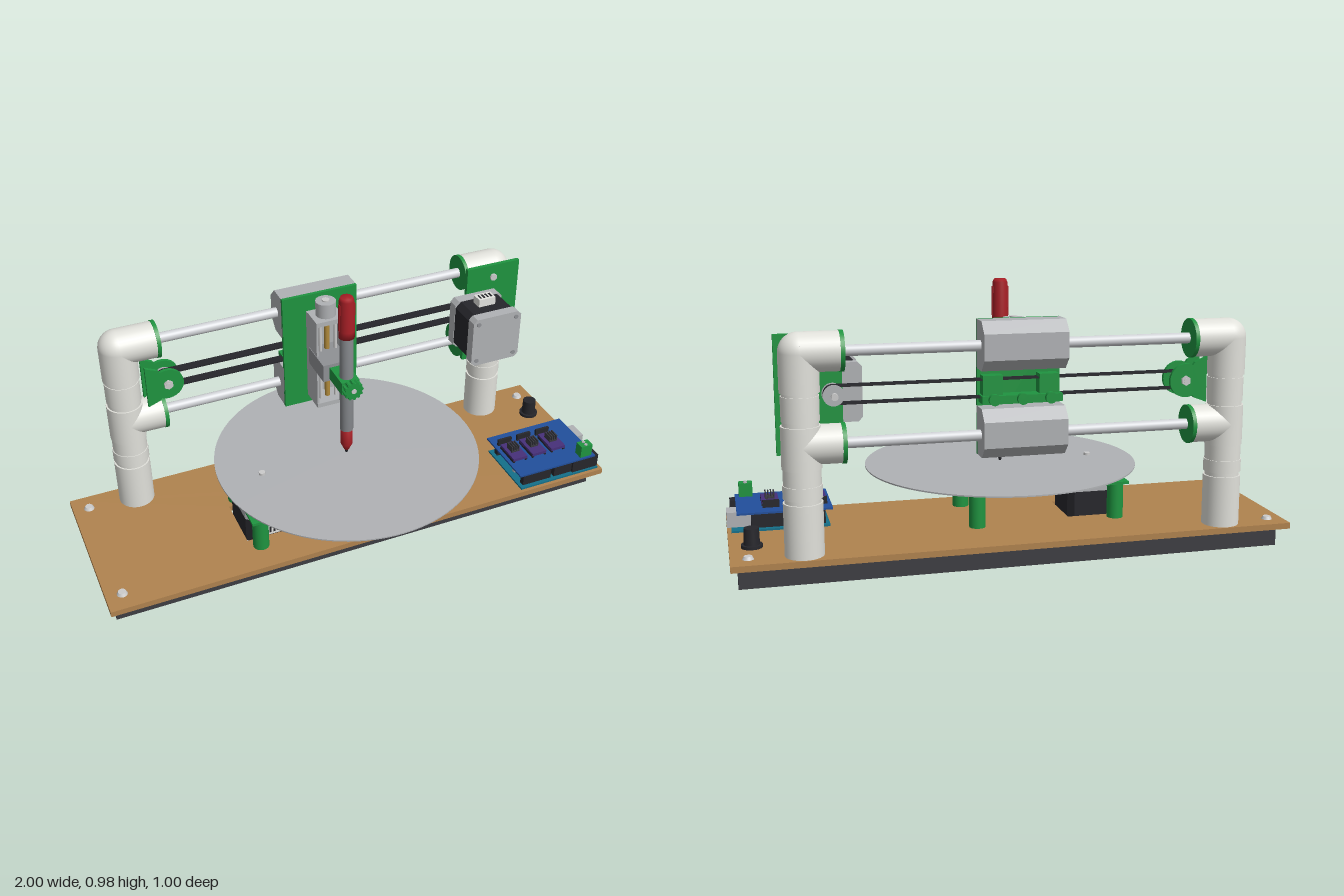
import * as THREE from 'three';

const GREEN = 0x1f9440, GREY = 0xb0b2b5, BLACK = 0x26262b, PIPE = 0xe0e0da, RED = 0xa81f26, STEEL = 0xcccccc;
const mats = {};
const mat = (c) => (mats[c] ??= new THREE.MeshStandardMaterial({ color: c }));

export function createModel() {
  const model = new THREE.Group();
  let target = model;
  const group = (name) => {
    target = new THREE.Group();
    target.name = name;
    model.add(target);
    return target;
  };
  const add = (name, geo, color, x = 0, y = 0, z = 0) => {
    const m = new THREE.Mesh(geo, mat(color));
    m.name = name;
    m.position.set(x, y, z);
    target.add(m);
    return m;
  };
  // box given by its limits on each axis
  const box = (name, color, [x0, x1], [y0, y1], [z0, z1]) =>
    add(name, new THREE.BoxGeometry(x1 - x0, y1 - y0, z1 - z0), color, (x0 + x1) / 2, (y0 + y1) / 2, (z0 + z1) / 2);
  // cylinder centred at a point, along axis 'x', 'y' or 'z'
  const cyl = (name, color, r, len, axis, x, y, z, rTop = r, seg = 32) => {
    const g = new THREE.CylinderGeometry(rTop, r, len, seg);
    if (axis === 'x') g.rotateZ(-Math.PI / 2);
    if (axis === 'z') g.rotateX(Math.PI / 2);
    return add(name, g, color, x, y, z);
  };
  const polygon = (pts) => new THREE.Shape(pts.map((p) => new THREE.Vector2(...p)));
  const extrude = (shape, depth) => new THREE.ExtrudeGeometry(shape, { depth, bevelEnabled: false, curveSegments: 20 });
  const knurl = (r, n, cut) => polygon(Array.from({ length: n * 4 }, (_, i) => {
    const a = (i / (n * 4)) * Math.PI * 2, q = i % 4 < 2 ? r : r - cut;
    return [Math.cos(a) * q, Math.sin(a) * q];
  }));
  // square with cut corners, used for stepper motors
  const cutSquare = (h, c) => polygon([[-h + c, -h], [h - c, -h], [h, -h + c], [h, h - c], [h - c, h], [-h + c, h], [-h, h - c], [-h, -h + c]]);
  // closed belt outline around two pulleys, running along x
  const loop = (x0, x1, r0, r1, Type) => {
    const s = new Type();
    s.absarc(x0, 0, r0, Math.PI / 2, Math.PI * 1.5, false);
    s.absarc(x1, 0, r1, -Math.PI / 2, Math.PI / 2, false);
    s.closePath();
    return s;
  };
  const belt = (x0, x1, r0, r1, t, depth) => {
    const s = loop(x0, x1, r0, r1, THREE.Shape);
    s.holes.push(loop(x0, x1, r0 - t, r1 - t, THREE.Path));
    return extrude(s, depth);
  };
  // stepper motor along z, rear face at z = 0, shaft towards -z
  const stepper = (name, body) => {
    const g = group(name), L = 0.19, a = 0.04;
    add('rearCap', extrude(cutSquare(0.102, 0.015), a), GREY, 0, 0, -a);
    add('core', extrude(cutSquare(0.1, 0.022), body), BLACK, 0, 0, -a - body);
    add('frontCap', extrude(cutSquare(0.102, 0.015), L - a - body), GREY, 0, 0, -L);
    cyl('shaft', STEEL, 0.012, 0.09, 'z', 0, 0, -L - 0.04);
    for (const i of [-1, 1]) for (const j of [-1, 1]) cyl('screw', 0x909296, 0.009, 0.004, 'z', i * 0.08, j * 0.08, 0.001, 0.009, 12);
    box('connector', 0xe2e2de, [-0.035, 0.035], [0.1, 0.131], [-0.13, -0.085]);
    for (let i = 0; i < 4; i++) box('pin', BLACK, [-0.026 + i * 0.015, -0.019 + i * 0.015], [0.13, 0.1325], [-0.12, -0.095]);
    return g;
  };

  // Base board, rails and screws
  group('base');
  const board = polygon([[-1, -0.265], [1, -0.265], [1, 0.38], [-1, 0.38]]);
  board.holes.push(new THREE.Path([[-0.445, -0.105], [-0.445, 0.105], [-0.235, 0.105], [-0.235, -0.105]].map((p) => new THREE.Vector2(...p))));
  add('board', extrude(board, 0.022).rotateX(-Math.PI / 2), 0xb0834f, 0, 0.079, 0);
  box('frontRail', 0x3d3d42, [-0.975, 0.975], [0, 0.079], [0.13, 0.205]);
  box('rearRail', 0x3d3d42, [-0.975, 0.975], [0, 0.079], [-0.32, -0.245]);
  for (const [x, z] of [[-0.94, -0.31], [-0.94, 0.19], [0.94, -0.31], [0.94, 0.19]]) cyl('boardScrew', STEEL, 0.02, 0.012, 'y', x, 0.106, z, 0.014, 20);

  // Pipe posts with tees and elbows
  const PZ = -0.308, Y1 = 0.787, Y0 = 0.478;
  for (const s of [-1, 1]) {
    group(s < 0 ? 'rightPost' : 'leftPost');
    const x = s * 0.753;
    cyl('pipeCore', PIPE, 0.061, 0.68, 'y', x, 0.44, PZ);
    for (const [a, b, r] of [[0.1, 0.285, 0.067], [0.3, 0.345, 0.067], [0.345, 0.4, 0.064], [0.4, 0.545, 0.067], [0.56, 0.645, 0.064], [0.655, Y1, 0.067]])
      cyl('pipeSleeve', PIPE, r, b - a, 'y', x, (a + b) / 2, PZ);
    add('elbowCorner', new THREE.SphereGeometry(0.067, 32, 20), PIPE, x, Y1, PZ);
    for (const y of [Y0, Y1]) {
      cyl('branch', PIPE, 0.067, 0.135, 'x', s * 0.685, y, PZ);
      cyl('rodCollar', GREEN, 0.069, 0.014, 'x', s * 0.614, y, PZ);
    }
  }

  // Guide rods and traverse belt
  group('traverse');
  for (const y of [Y0, Y1]) cyl('guideRod', 0xd0d2d6, 0.019, 1.24, 'x', 0, y, PZ);
  add('traverseBelt', belt(-0.6, 0.64, 0.033, 0.033, 0.006, 0.035), BLACK, 0, 0.635, -0.288);
  for (const x of [-0.6, 0.64]) {
    cyl('pulley', STEEL, 0.026, 0.036, 'z', x, 0.635, -0.27);
    for (const z of [-0.291, -0.249]) cyl('pulleyFlange', GREY, 0.036, 0.005, 'z', x, 0.635, z);
  }
  cyl('idlerBolt', STEEL, 0.01, 0.1, 'z', -0.6, 0.635, -0.27, 0.01, 16);
  const idler = new THREE.Shape();
  idler.moveTo(-0.68, 0.555);
  idler.lineTo(-0.635, 0.572);
  idler.absarc(-0.602, 0.635, 0.06, -2.0, 2.0, false);
  idler.lineTo(-0.635, 0.7);
  idler.lineTo(-0.68, 0.72);
  idler.closePath();
  for (const z of [-0.244, -0.31]) add('idlerPlate', extrude(idler, 0.013), GREEN, 0, 0, z);
  for (const z of [-0.228, -0.312]) cyl('idlerNut', STEEL, 0.018, 0.012, 'z', -0.6, 0.635, z, 0.018, 6);

  // Traverse motor and its plate
  group('motorMount');
  box('motorPlate', GREEN, [0.605, 0.83], [0.43, 0.838], [-0.241, -0.225]);
  for (const y of [Y0, Y1]) cyl('plateScrew', STEEL, 0.014, 0.01, 'z', 0.718, y, -0.222, 0.014, 16);
  stepper('traverseMotor', 0.11).position.set(0.638, 0.632, -0.035);

  // Carriage with bearing blocks and belt clamp
  group('carriage');
  box('carriagePlate', GREEN, [-0.15, 0.146], [0.4, 0.871], [-0.256, -0.243]);
  const block = polygon([[0.25, -0.085], [0.325, -0.085], [0.365, -0.045], [0.365, 0.045], [0.325, 0.085], [0.25, 0.085]]);
  for (const y of [0.486, 0.786]) add('bearingBlock', extrude(block, 0.296).rotateY(Math.PI / 2), GREY, -0.15, y, 0);
  for (const x of [-0.1, 0.1]) box('beltClamp', GREEN, [x - 0.035, x + 0.035], [0.59, 0.68], [-0.3, -0.25]);
  box('clampBar', GREEN, [-0.145, 0.141], [0.585, 0.612], [-0.315, -0.25]);
  for (const x of [-0.1, 0, 0.1]) cyl('clampKnob', GREEN, 0.02, 0.02, 'z', x, 0.6, -0.32, 0.02, 16);

  // Vertical screw slide with open front
  group('penSlide');
  box('slideBack', GREY, [-0.058, 0.055], [0.435, 0.805], [-0.243, -0.225]);
  for (const x of [-0.058, 0.047]) box('slideSide', GREY, [x, x + 0.008], [0.435, 0.805], [-0.226, -0.142]);
  for (const y of [0.435, 0.79]) box('slideEnd', GREY, [-0.058, 0.055], [y, y + 0.018], [-0.226, -0.14]);
  for (const x of [-0.03, 0.03]) cyl('slideRod', STEEL, 0.006, 0.345, 'y', x, 0.62, -0.175, 0.006, 16);
  cyl('leadScrew', 0xb08a3c, 0.01, 0.345, 'y', 0, 0.62, -0.185, 0.01, 16);
  cyl('slideMotor', GREY, 0.038, 0.06, 'y', 0, 0.835, -0.192);
  cyl('slideMotorCap', STEEL, 0.014, 0.006, 'y', 0, 0.867, -0.192);
  box('slideBlock', 0x8f9195, [-0.06, 0.058], [0.595, 0.665], [-0.215, -0.075]);

  // Pen clamp with knurled thumb screw
  group('penHolder');
  box('holderArm', GREEN, [-0.035, 0.035], [0.602, 0.652], [-0.075, -0.026]);
  const ring = polygon([[-0.05, -0.035], [0.05, -0.035], [0.05, 0.035], [-0.05, 0.035]]);
  ring.holes.push(new THREE.Path().absarc(0, 0, 0.025, 0, Math.PI * 2, true));
  add('holderRing', extrude(ring, 0.05).rotateX(-Math.PI / 2).rotateY(Math.PI / 2), GREEN, 0, 0.602, -0.012);
  add('thumbKnob', extrude(knurl(0.038, 12, 0.006), 0.024), GREEN, 0, 0.628, 0.044);
  cyl('thumbScrew', STEEL, 0.01, 0.04, 'z', 0, 0.628, 0.05, 0.01, 16);

  // Pen
  group('pen');
  const lathe = (name, color, pts) => add(name, new THREE.LatheGeometry(pts.map((p) => new THREE.Vector2(...p)), 32), color);
  lathe('penTip', BLACK, [[0, 0.303], [0.004, 0.308], [0.01, 0.33], [0, 0.33]]);
  lathe('penNose', RED, [[0, 0.322], [0.009, 0.322], [0.022, 0.35], [0.023, 0.42], [0, 0.42]]);
  lathe('penBarrel', 0x85888c, [[0, 0.418], [0.025, 0.418], [0.025, 0.822], [0, 0.822]]);
  lathe('penCap', RED, [[0, 0.82], [0.029, 0.82], [0.029, 0.85], [0.027, 0.97], [0.022, 0.982], [0, 0.982]]);
  for (const x of [-0.026, 0.026]) box('penCapRib', RED, [x - 0.004, x + 0.004], [0.85, 0.955], [-0.007, 0.007]);

  // Turntable
  group('turntable');
  cyl('platter', GREY, 0.5, 0.005, 'y', 0, 0.305, 0, 0.5, 96);
  cyl('lowerDisc', 0x8a8c90, 0.3, 0.004, 'y', 0, 0.295, 0, 0.3, 72);
  cyl('hub', STEEL, 0.03, 0.03, 'y', 0, 0.292, 0);
  for (const y of [0.25, 0.287]) cyl('wheelFlange', GREEN, 0.105, 0.006, 'y', 0, y, 0, 0.105, 48);
  cyl('wheel', 0x303035, 0.098, 0.035, 'y', 0, 0.268, 0, 0.098, 48);
  add('driveBelt', belt(-0.34, 0, 0.03, 0.102, 0.006, 0.025).rotateX(-Math.PI / 2), BLACK, 0, 0.256, 0);
  cyl('driveWheel', GREEN, 0.026, 0.04, 'y', -0.34, 0.268, 0);
  for (const y of [0.25, 0.287]) cyl('driveFlange', GREEN, 0.038, 0.006, 'y', -0.34, y, 0);

  // Turntable support and motor
  group('turntableSupport');
  box('supportPlate', GREEN, [-0.445, 0.15], [0.233, 0.243], [-0.182, 0.182]);
  for (const x of [-0.405, 0.12]) for (const z of [-0.142, 0.145]) {
    cyl('supportLeg', GREEN, 0.03, 0.135, 'y', x, 0.167, z);
    cyl('legScrew', STEEL, 0.012, 0.008, 'y', x, 0.245, z, 0.012, 16);
  }
  cyl('bearing', GREEN, 0.045, 0.03, 'y', 0, 0.235, 0);
  const drive = stepper('turntableMotor', 0.11);
  drive.rotation.x = Math.PI / 2;
  drive.position.set(-0.34, 0.042, 0);

  // Control electronics
  group('controller');
  box('mainBoard', 0x14708a, [0.635, 0.985], [0.102, 0.109], [-0.01, 0.252]);
  box('shieldBoard', 0x214f9c, [0.625, 0.965], [0.166, 0.173], [-0.015, 0.252]);
  for (const z of [0.01, 0.215]) for (const x of [0.65, 0.79]) box('header', BLACK, [x, x + 0.125], [0.109, 0.166], [z, z + 0.022]);
  box('usbPort', GREY, [0.9, 1], [0.109, 0.164], [0.035, 0.11]);
  box('powerJack', BLACK, [0.87, 0.985], [0.109, 0.164], [0.195, 0.245]);
  box('terminal', GREEN, [0.9, 0.95], [0.173, 0.224], [0.207, 0.245]);
  for (const z of [0.217, 0.235]) cyl('terminalScrew', GREY, 0.007, 0.003, 'y', 0.925, 0.225, z, 0.007, 12);
  for (let i = 0; i < 3; i++) {
    const x = 0.64 + i * 0.086;
    box('driverBoard', 0x47307a, [x, x + 0.062], [0.18, 0.192], [0.065, 0.17]);
    for (const d of [0, 0.054]) box('driverHeader', BLACK, [x + d, x + d + 0.008], [0.173, 0.184], [0.065, 0.17]);
    box('heatSink', 0x3a3a40, [x + 0.014, x + 0.048], [0.19, 0.197], [0.09, 0.13]);
    for (let k = 0; k < 4; k++) box('heatSinkFin', 0x3a3a40, [x + 0.014 + k * 0.01, x + 0.018 + k * 0.01], [0.196, 0.217], [0.09, 0.13]);
    box('motorPins', BLACK, [x, x + 0.06], [0.173, 0.2], [0.04, 0.05]);
  }
  for (const x of [0.67, 0.8]) cyl('capacitor', GREY, 0.013, 0.05, 'y', x, 0.134, 0.145, 0.013, 20);

  // Push button
  group('button');
  cyl('buttonBase', BLACK, 0.037, 0.012, 'y', 0.922, 0.106, -0.183);
  cyl('buttonBody', BLACK, 0.028, 0.06, 'y', 0.922, 0.14, -0.183, 0.026);
  return model;
}
